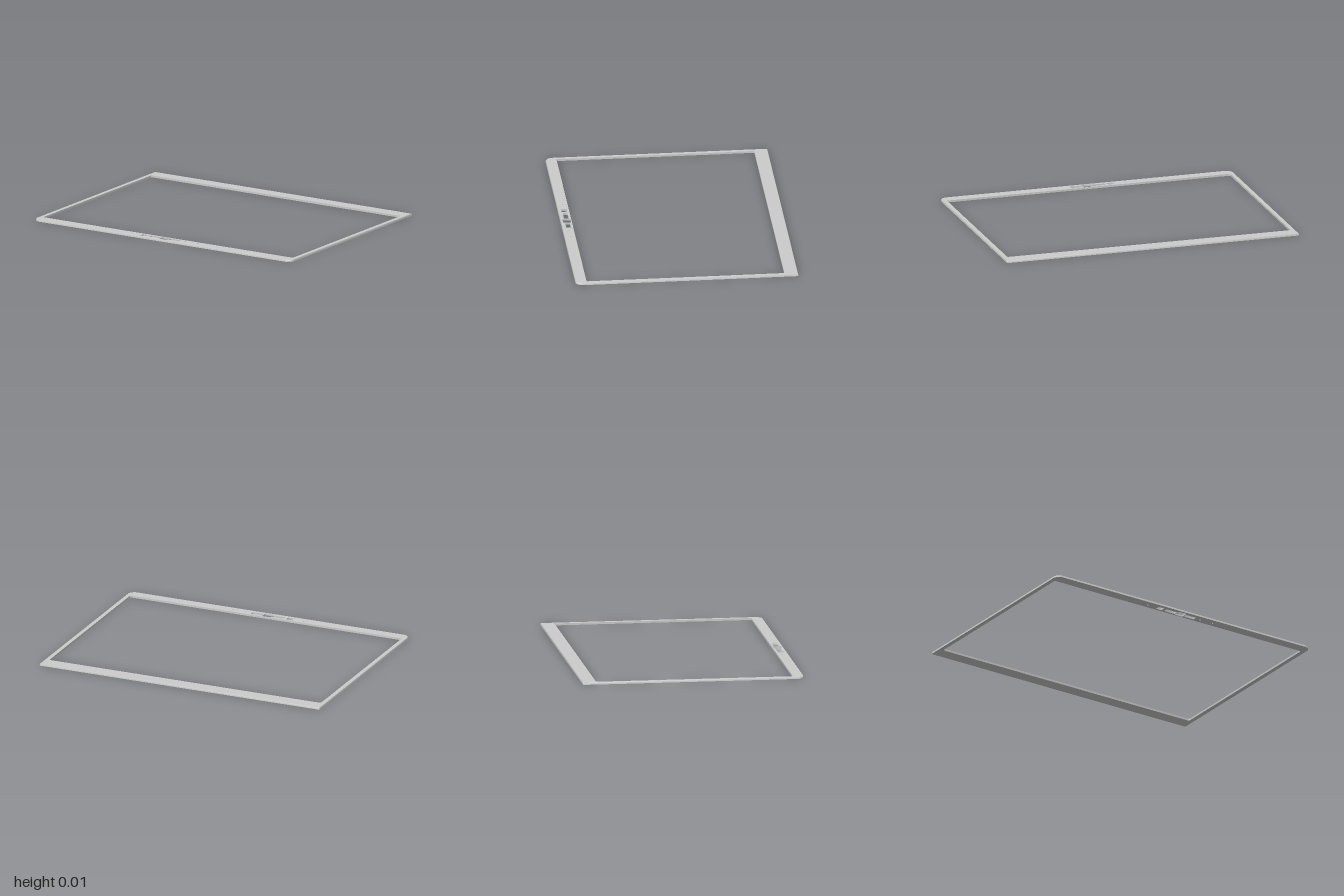
import * as THREE from 'three';
import { toCreasedNormals } from 'three/addons/utils/BufferGeometryUtils.js';

const HEIGHT = 0.013;

// Rounded rectangle in plan (x, z); rb and rf are the back and front corner radii.
function plan(path, x0, x1, z0, z1, rb, rf = rb) {
  const b = -z0, f = -z1; // shape y is -z
  path.moveTo(x0 + rf, f);
  path.lineTo(x1 - rf, f);
  path.absarc(x1 - rf, f + rf, rf, -Math.PI / 2, 0, false);
  path.lineTo(x1, b - rb);
  path.absarc(x1 - rb, b - rb, rb, 0, Math.PI / 2, false);
  path.lineTo(x0 + rb, b);
  path.absarc(x0 + rb, b - rb, rb, Math.PI / 2, Math.PI, false);
  path.lineTo(x0, f + rf);
  path.absarc(x0 + rf, f + rf, rf, Math.PI, Math.PI * 1.5, false);
  return path;
}

export function createModel() {
  const group = new THREE.Group();
  const material = new THREE.MeshStandardMaterial({ color: 0xcccccc });

  // Outer outline: tight back corners, round front corners
  const shape = plan(new THREE.Shape(), -1, 1, -0.73, 0.73, 0.004, 0.045);

  // Screen opening
  shape.holes.push(plan(new THREE.Path(), -0.97, 0.97, -0.64, 0.657, 0.01));

  // Camera and sensor windows in the front bar
  const windows = [
    [-0.182, -0.139, 0.671, 0.708],
    [-0.118, -0.034, 0.672, 0.703],
    [-0.03, 0.03, 0.663, 0.717],
    [0.034, 0.113, 0.672, 0.703],
  ];
  for (const [x0, x1, z0, z1] of windows) {
    shape.holes.push(plan(new THREE.Path(), x0, x1, z0, z1, 0.002));
  }

  // Microphone pinholes
  for (const x of [-0.257, 0.155, 0.252]) {
    shape.holes.push(new THREE.Path().absarc(x, -0.688, 0.005, 0, Math.PI * 2, true));
  }

  const geometry = new THREE.ExtrudeGeometry(shape, {
    depth: HEIGHT, steps: 2, bevelEnabled: false, curveSegments: 8,
  });
  geometry.rotateX(-Math.PI / 2);

  // Draw the upper outer rim slightly inwards for a soft chamfer
  const p = geometry.attributes.position;
  for (let i = 0; i < p.count; i++) {
    const x = p.getX(i), z = p.getZ(i);
    const outer = Math.abs(x) > 0.975 || z > 0.72 || z < -0.66;
    if (outer && p.getY(i) > HEIGHT * 0.9) {
      p.setX(i, x * 0.997);
      p.setZ(i, z * 0.996);
    }
  }

  const bezel = new THREE.Mesh(toCreasedNormals(geometry, 0.5), material);
  bezel.name = 'screenBezel';
  group.add(bezel);
  return group;
}
